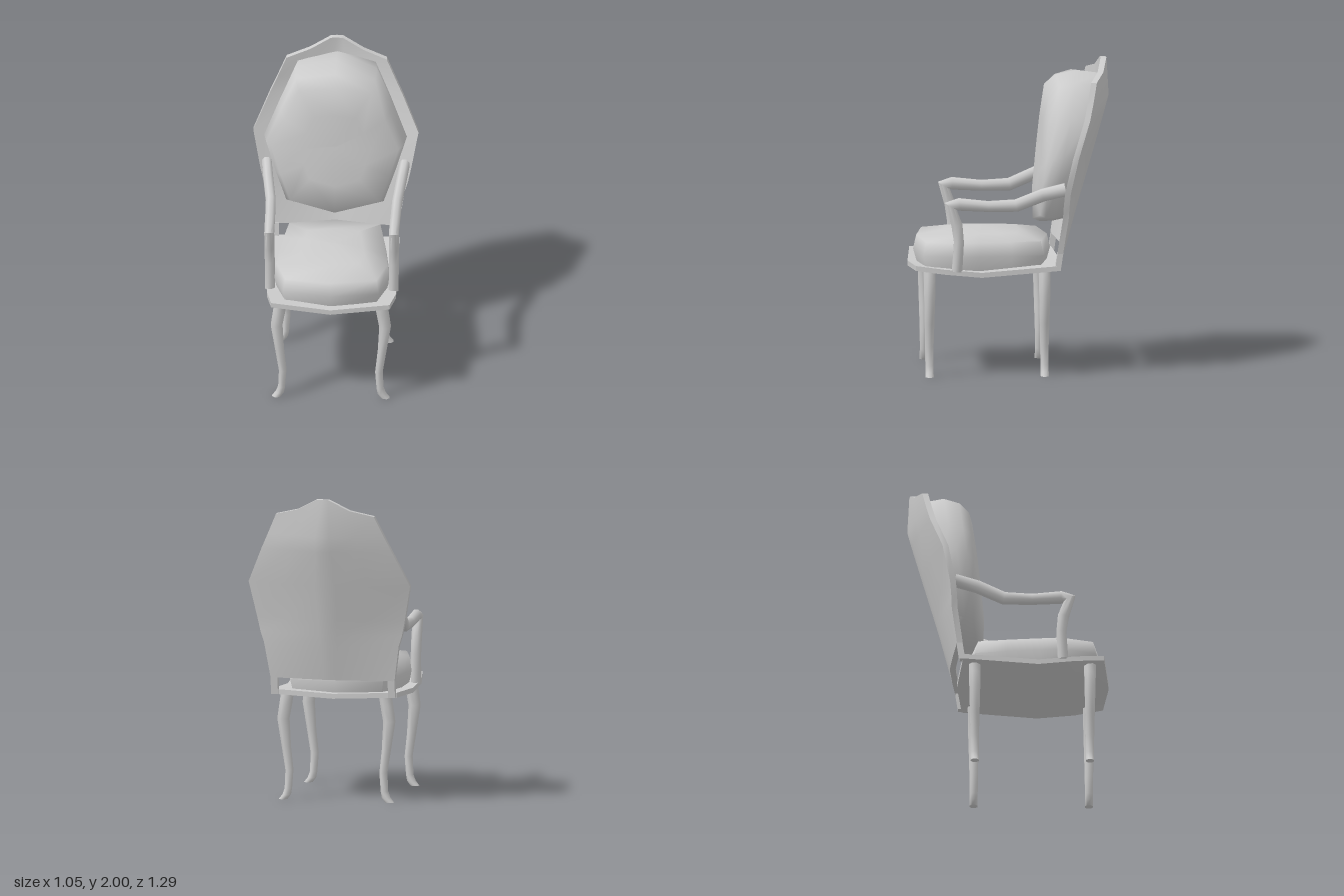
import * as THREE from 'three';
import { toCreasedNormals } from 'three/addons/utils/BufferGeometryUtils.js';

const grey = new THREE.MeshStandardMaterial({ color: 0xcccccc });
grey.name = 'plain grey';

// Skin a stack of equal rings ([x, y, z] points); both ends are closed with strips.
function loft(name, rings, crease) {
  const n = rings[0].length, index = [];
  const quad = (a, b, c, d) => index.push(a, b, c, a, c, d);
  for (let r = 0; r < rings.length - 1; r++)
    for (let i = 0; i < n; i++) {
      const j = (i + 1) % n;
      quad(r * n + i, r * n + j, (r + 1) * n + j, (r + 1) * n + i);
    }
  const last = (rings.length - 1) * n;
  for (let i = 0; i < n / 2 - 1; i++) {
    quad(n - 1 - i, n - 2 - i, i + 1, i);
    quad(last + i, last + i + 1, last + n - 2 - i, last + n - 1 - i);
  }
  // Turn the faces outward if the enclosed volume is negative
  const pts = rings.flat().map(p => new THREE.Vector3(...p));
  let volume = 0;
  for (let i = 0; i < index.length; i += 3)
    volume += pts[index[i]].dot(pts[index[i + 1]].clone().cross(pts[index[i + 2]]));
  if (volume < 0) index.reverse();
  const geo = new THREE.BufferGeometry().setFromPoints(pts);
  geo.setIndex(index);
  const mesh = new THREE.Mesh(toCreasedNormals(geo, crease), grey);
  mesh.name = name;
  return mesh;
}

// Full outline from its right half, listed from one middle point to the other
const mirrorOutline = half =>
  [...half, ...half.slice(1, -1).reverse().map(([x, y]) => [-x, y])];

// Backrest rows: height, half width, z at the side edge, z at the middle
const BACK = [[0.8, 0.405, -0.292, -0.333], [1.03, 0.44, -0.326, -0.399], [1.1, 0.462, -0.329, -0.419],
  [1.2, 0.483, -0.337, -0.448], [1.43, 0.527, -0.386, -0.514], [1.66, 0.425, -0.464, -0.579],
  [1.76, 0.378, -0.487, -0.605], [1.89, 0.32, -0.513, -0.6], [2, 0.32, -0.53, -0.592]];

// Front surface of the leaning, curved backrest
function panelZ(x, y) {
  const k = Math.max(1, BACK.findIndex(row => row[0] >= y));
  const f = (y - BACK[k - 1][0]) / (BACK[k][0] - BACK[k - 1][0]);
  const [, w, edge, mid] = BACK[k].map((v, i) => THREE.MathUtils.lerp(BACK[k - 1][i], v, f));
  return mid + (edge - mid) * Math.pow(Math.abs(x) / w, 1.25);
}

function backPanel() {
  const cols = [-1, -0.53, -0.12, 0, 0.12, 0.53, 1];
  const crest = { 1: 1.89, 0.53: 1.93, 0.12: 2, 0: 2 };
  const rows = BACK.filter(([y]) => y !== 1.89);
  return loft('backPanel', rows.map(([y, w]) => {
    const front = cols.map(t => {
      const h = y === 2 ? crest[Math.abs(t)] : y;
      return [t * w, h, panelZ(t * w, h)];
    });
    return [...front, ...front.map(([x, h, z]) => [x, h, z - 0.037]).reverse()];
  }), 0.75);
}

function backCushion() {
  const outline = mirrorOutline([[0, 0.49], [0.26, 0.45], [0.36, 0.225], [0.455, 0],
    [0.39, -0.205], [0.32, -0.41], [0, -0.485]]);
  const frontZ = (x, y) => -0.152 - 0.11 * Math.max(0, y - 1.2) - 0.115 * Math.abs(x);
  // outline scale, depth from panel (0) to front (1), drop
  const layers = [[0.95, 0, 0], [1, 0.45, 0], [0.97, 0.8, 0.015], [0.89, 0.98, 0.035], [0.5, 1, 0.03], [0.02, 1, 0]];
  return loft('backCushion', layers.map(([s, d, drop]) => outline.map(([ox, oy]) => {
    const x = ox * s, y = 1.43 + oy * s - drop;
    return [x, y, THREE.MathUtils.lerp(panelZ(x, y) - 0.01, frontZ(x, y), d)];
  })), 1.2);
}

function seatBoard() {
  // z at edge, z at middle, half width, top at edge, top at middle
  const stations = [[0.61, 0.643, 0.378, 0.725, 0.697], [0.43, 0.43, 0.412, 0.705, 0.69],
    [0.19, 0.19, 0.412, 0.682, 0.68], [-0.29, -0.325, 0.41, 0.72, 0.705]];
  return loft('seatBoard', stations.map(([ze, zm, w, ye, ym]) => {
    const top = [[-w, ye, ze], [0, ym, zm], [w, ye, ze]];
    return [...top, ...top.map(([x, y, z]) => [x, y - 0.032, z]).reverse()];
  }), 0.5);
}

function seatCushion() {
  const outline = mirrorOutline([[0, 0.437], [0.305, 0.387], [0.372, 0.17], [0.358, 0.03],
    [0.335, -0.18], [0.305, -0.38], [0, -0.437]]);
  const layers = [[0.94, 0.68], [1, 0.775], [0.955, 0.863], [0.55, 0.898], [0.02, 0.925]];
  return loft('seatCushion', layers.map(([s, y]) =>
    outline.map(([x, z]) => [x * s, y, 0.17 + z * s])), 1.3);
}

const SIDES = 8;
const angles = Array.from({ length: SIDES }, (_, i) => (i + 0.5) / SIDES * Math.PI * 2);

// Curved leg: level, sideways position, half width, half depth
function leg(name, side, z) {
  const levels = [[0.7, 0.318, 0.042, 0.041], [0.62, 0.33, 0.042, 0.04], [0.52, 0.346, 0.04, 0.038],
    [0.34, 0.327, 0.03, 0.033], [0.19, 0.307, 0.026, 0.029], [0.07, 0.314, 0.024, 0.028],
    [0.03, 0.325, 0.028, 0.028], [0, 0.348, 0.029, 0.028]];
  return loft(name, levels.map(([y, x, rx, rz]) =>
    angles.map(a => [side * (x + Math.cos(a) * rx), y, z + Math.sin(a) * rz])), 1);
}

// Arm with its upright, as a tube of varying radius along a bent path
function arm(name, side) {
  const path = [[0.44, 1.222, -0.345, 0.044], [0.425, 1.185, -0.2, 0.043], [0.403, 1.115, -0.03, 0.042],
    [0.4, 1.11, 0.15, 0.036], [0.398, 1.125, 0.335, 0.042], [0.398, 1.113, 0.388, 0.046],
    [0.398, 0.99, 0.349, 0.038], [0.396, 0.88, 0.336, 0.034], [0.394, 0.69, 0.348, 0.036]];
  const pts = path.map(([x, y, z]) => new THREE.Vector3(side * x, y, z));
  const rings = pts.map((p, k) => {
    const into = p.clone().sub(pts[Math.max(k - 1, 0)]).normalize();
    const out = pts[Math.min(k + 1, pts.length - 1)].clone().sub(p).normalize();
    const t = into.add(out).normalize();
    const u = new THREE.Vector3(1, 0, 0).addScaledVector(t, -t.x).normalize();
    const v = t.clone().cross(u);
    const r = path[k][3];
    return angles.map(a => p.clone().addScaledVector(u, Math.cos(a) * Math.min(r, 0.034))
      .addScaledVector(v, Math.sin(a) * r).toArray());
  });
  return loft(name, rings, 1);
}

// Short post joining backrest and seat
function post(name, side) {
  const ring = (y, z) => [[0.36, z], [0.405, z], [0.405, z - 0.037], [0.36, z - 0.037]]
    .map(([x, d]) => [side * x, y, d]);
  return loft(name, [ring(0.69, -0.277), ring(0.805, -0.294)], 0.4);
}

export function createModel() {
  const model = new THREE.Group();
  model.name = 'armchair';
  model.add(backPanel(), backCushion(), seatBoard(), seatCushion());
  for (const [label, side] of [['left', 1], ['right', -1]]) {
    model.add(leg(label + 'FrontLeg', side, 0.52), leg(label + 'BackLeg', side, -0.215),
      arm(label + 'Arm', side), post(label + 'BackPost', side));
  }
  return model;
}
